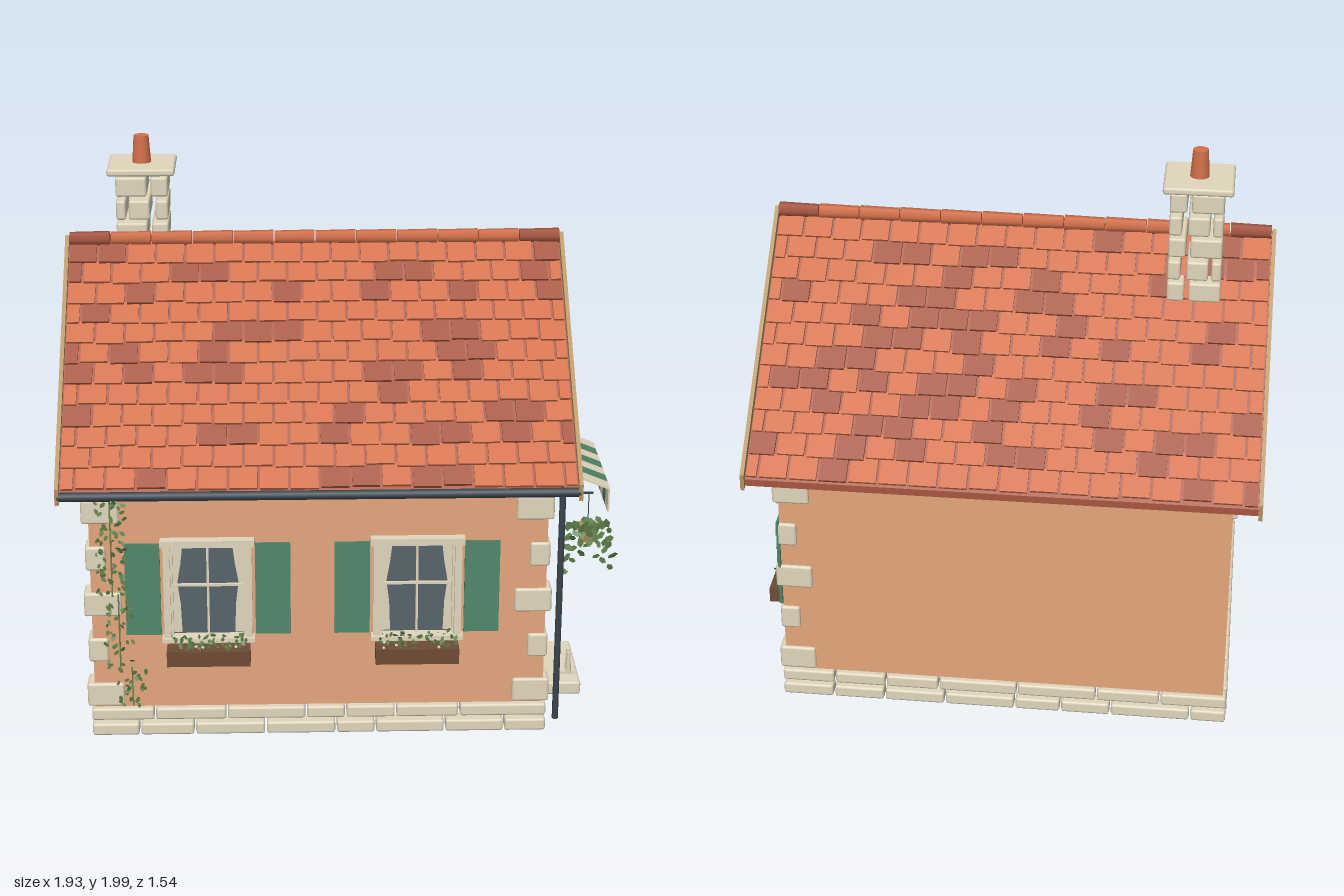
import * as THREE from 'three';
import { mergeGeometries } from 'three/addons/utils/BufferGeometryUtils.js';
import { RoundedBoxGeometry } from 'three/addons/geometries/RoundedBoxGeometry.js';

const mat = (name, color, side = THREE.FrontSide) => {
  const m = new THREE.MeshStandardMaterial({ color, side });
  m.name = name;
  return m;
};
const M = {
  wall: mat('peach plaster', 0xe4a67c), stone: mat('pale stone', 0xe0d6bc),
  tile: mat('orange tile', 0xd2704a), tileDark: mat('dark red tile', 0xa65640),
  green: mat('green paint', 0x4f8468), glass: mat('blue grey glass', 0x56646c),
  brown: mat('planter brown', 0x6e4b36), tan: mat('tan timber', 0xb5915f),
  iron: mat('dark iron', 0x3a454e), leaf: mat('leaf', 0x5f8048, THREE.DoubleSide),
};

let seed = 7;
const rnd = (a = 0, b = 1) => {
  seed = (seed * 16807) % 2147483647;
  return a + (b - a) * (seed / 2147483647);
};
const add = (parent, name, geo, material, x = 0, y = 0, z = 0) => {
  const m = new THREE.Mesh(geo, material);
  m.name = name;
  m.position.set(x, y, z);
  parent.add(m);
};
const box = (w, h, d, x = 0, y = 0, z = 0) => new THREE.BoxGeometry(w, h, d).translate(x, y, z);
const stone = (w, h, d, x, y, z) =>
  new RoundedBoxGeometry(w, h, d, 1, 0.009).translate(x, y, z);
const poly = (pts) => new THREE.Shape(pts.map(([x, y]) => new THREE.Vector2(x, y)));
const rect = (x0, x1, y0, y1) => poly([[x0, y0], [x0, y1], [x1, y1], [x1, y0]]);
const extrude = (shape, depth) =>
  new THREE.ExtrudeGeometry(shape, { depth, bevelEnabled: false, curveSegments: 24 });

// House dimensions
const X0 = -0.865, X1 = 0.715, Z = 0.63, BASE = 0.12, T = 0.03;
const SLOPE = 0.863, ANGLE = Math.atan(SLOPE), WIN_Y = 0.5725;

// Narrow leaves, mostly facing +z, scattered by a placing function
function leaves(count, size, place) {
  const list = [];
  for (let i = 0; i < count; i++) {
    const s = size * rnd(0.7, 1.2);
    list.push(new THREE.CircleGeometry(s, 5).scale(0.6, 1, 1)
      .rotateX(rnd(-0.5, 0.5)).rotateY(rnd(-0.5, 0.5)).rotateZ(rnd(-1.2, 1.2))
      .translate(...place(i)));
  }
  return mergeGeometries(list);
}

function walls(g) {
  const front = rect(X0, X1, BASE, 1.05);
  for (const x of [-0.46, 0.265]) front.holes.push(rect(x - 0.125, x + 0.125, 0.39, 0.745));
  add(g, 'frontWall', extrude(front, T), M.wall, 0, 0, Z - T);
  add(g, 'backWall', box(X1 - X0, 1.05 - BASE, T), M.wall, (X0 + X1) / 2, (1.05 + BASE) / 2, -Z + T / 2);
  const gable = () => poly([[-Z, BASE], [Z, BASE], [Z, 1.061], [0, 1.605], [-Z, 1.061]]);
  const right = gable();
  right.holes.push(rect(0.355 - 0.125, 0.355 + 0.125, 0.39, 0.745));
  add(g, 'doorGableWall', extrude(right, T).rotateY(Math.PI / 2), M.wall, X1 - T);
  add(g, 'plainGableWall', extrude(gable(), T).rotateY(Math.PI / 2), M.wall, X0);
}

function masonry(g) {
  // Two courses of foundation stones on all four sides
  const base = [];
  const run = (a, b, make) => {
    while (a < b - 0.01) {
      let len = rnd(0.13, 0.3);
      if (b - a - len < 0.1) len = b - a;
      base.push(make(a + len / 2, len - 0.006));
      a += len;
    }
  };
  for (const y of [0.033, 0.093]) for (const s of [-1, 1]) {
    run(-0.88, 0.73, (c, l) => stone(l, 0.045, 0.06, c, y, s * 0.615));
    run(-0.58, 0.58, (c, l) => stone(0.06, 0.045, l, s > 0 ? 0.7 : -0.85, y, c));
  }
  add(g, 'foundationStones', mergeGeometries(base), M.stone);
  // Corner stones on three corners, alternately wide and narrow
  const quoins = [];
  for (const [sx, sz] of [[-1, 1], [1, 1], [1, -1]]) for (let k = 0; k < 6; k++) {
    const w = k % 2 ? 0.07 : 0.13, y = k < 5 ? 0.169 + 0.174 * k : 0.98;
    const face = (sx > 0 ? 0.725 : -0.88) + sx * (k % 2 ? 0 : 0.01);
    quoins.push(stone(w, 0.088, 0.09, face - sx * w / 2, y, sz * 0.597));
  }
  add(g, 'cornerStones', mergeGeometries(quoins), M.stone);
}

function roof(g) {
  const chevron = (top, half, h) => poly([[-half, top - SLOPE * half - h], [0, top - h],
    [half, top - SLOPE * half - h], [half, top - SLOPE * half], [0, top], [-half, top - SLOPE * half]]);
  add(g, 'roofDeck', extrude(chevron(1.632, 0.755, 0.025), 1.75).rotateY(Math.PI / 2), M.tileDark, -0.95);
  for (const x of [-0.962, 0.798])
    add(g, 'bargeBoard', extrude(chevron(1.665, 0.768, 0.058), 0.014).rotateY(Math.PI / 2), M.tan, x);
  // Staggered rows of tiles, a few of them darker
  const light = [], dark = [];
  const pick = () => (rnd() < 0.24 ? dark : light);
  for (const s of [-1, 1]) for (let r = 0; r < 12; r++) {
    const d = (r + 0.5) * 0.0815 + 0.006, off = r % 2 ? 0.0515 : 0;
    for (let c = 0; c <= 17; c++) {
      const a = Math.max(-0.948, -0.948 + c * 0.103 - off), b = Math.min(0.797, -0.948 + (c + 1) * 0.103 - off);
      if (b - a < 0.02) continue;
      const e = d + rnd(-0.005, 0.005);
      pick().push(box(b - a - 0.01, 0.011, 0.09).rotateX(s * (ANGLE - 0.11)).translate((a + b) / 2,
        1.632 - e * Math.sin(ANGLE) + 0.01 * Math.cos(ANGLE),
        s * (e * Math.cos(ANGLE) + 0.01 * Math.sin(ANGLE))));
    }
  }
  for (let i = 0; i < 12; i++)
    pick().push(new THREE.CylinderGeometry(0.024, 0.027, 0.142, 6).rotateZ(Math.PI / 2)
      .translate(-0.948 + 0.073 + i * 0.1455, 1.653, 0));
  add(g, 'roofTiles', mergeGeometries(light), M.tile);
  add(g, 'darkRoofTiles', mergeGeometries(dark), M.tileDark);
  // Gutter and downpipe along the front eave
  add(g, 'gutter', new THREE.CylinderGeometry(0.016, 0.016, 1.76, 10).rotateZ(Math.PI / 2), M.iron, -0.075, 0.97, 0.754);
  add(g, 'downpipe', new THREE.CylinderGeometry(0.011, 0.011, 0.85, 10), M.iron, 0.745, 0.545, 0.755);
}

function chimney(g) {
  const list = [];
  const rows = [[[-0.78, -0.67], [-0.655, -0.595]], [[-0.78, -0.745], [-0.735, -0.66], [-0.64, -0.595]]];
  for (let k = 0; k < 5; k++) for (const [a, b] of rows[k % 2])
    list.push(stone(b - a, 0.07, k % 2 ? 0.21 : 0.2, (a + b) / 2, 1.835 - k * 0.083, -0.108));
  list.push(stone(0.24, 0.026, 0.24, -0.69, 1.89, -0.115));
  add(g, 'chimneyStones', mergeGeometries(list), M.stone);
  add(g, 'chimneyPot', new THREE.CylinderGeometry(0.027, 0.034, 0.1, 14), M.tile, -0.69, 1.95, -0.115);
}

// Shuttered window facing local +z, origin at its centre on the wall face
function windowUnit() {
  const g = new THREE.Group();
  g.name = 'window';
  add(g, 'glass', box(0.25, 0.355, 0.004), M.glass, 0, 0, -0.012);
  const frame = [box(0.325, 0.025, 0.045, 0, 0.18, 0.012), box(0.32, 0.016, 0.05, 0, -0.182, 0.015),
    box(0.008, 0.35, 0.012, 0, 0, -0.005), box(0.24, 0.008, 0.012, 0, 0.012, -0.005)];
  const slats = [];
  for (const s of [-1, 1]) {
    frame.push(box(0.024, 0.35, 0.036, s * 0.141, 0, 0.01), box(0.008, 0.35, 0.02, s * 0.125, 0, 0));
    const x = s * 0.225;
    slats.push(box(0.122, 0.344, 0.008, x, 0, 0.004));
    for (let i = 0; i < 6; i++)
      slats.push(box(0.12, 0.054, 0.006).rotateX(-0.06).translate(x, -0.142 + i * 0.0568, 0.009));
    // Gathered curtain with a waved inner edge
    const c = poly([[0.122, 0.17], [0.085, 0.17], [0.094, 0.09], [0.106, 0.02], [0.096, -0.06], [0.092, -0.17], [0.122, -0.17]]);
    add(g, 'curtain', extrude(c, 0.009).rotateY(s < 0 ? Math.PI : 0), M.stone, 0, 0, -0.012 + s * -0.0045);
  }
  add(g, 'windowFrame', mergeGeometries(frame), M.stone);
  add(g, 'shutters', mergeGeometries(slats), M.green);
  // Planter box with greenery and small blossoms
  add(g, 'planterBox', box(0.29, 0.056, 0.07), M.brown, 0, -0.234, 0.045);
  const spot = () => [rnd(-0.135, 0.135), rnd(-0.205, -0.16), rnd(0.02, 0.075)];
  add(g, 'planterLeaves', leaves(60, 0.011, spot), M.leaf);
  const blossoms = [];
  for (let i = 0; i < 12; i++) blossoms.push(new THREE.IcosahedronGeometry(0.006, 0).translate(...spot()));
  add(g, 'blossoms', mergeGeometries(blossoms), M.stone);
  return g;
}

function entrance(g) {
  add(g, 'door', box(0.03, 0.68, 0.28), M.green, X1 + 0.002, 0.46, 0.195);
  for (const z of [0.115, 0.195, 0.275]) add(g, 'doorPlank', box(0.005, 0.64, 0.075), M.green, X1 + 0.018, 0.45, z);
  add(g, 'doorKnob', new THREE.SphereGeometry(0.011, 12, 8), M.brown, X1 + 0.03, 0.44, 0.09);
  add(g, 'doorFrame', mergeGeometries([box(0.04, 0.7, 0.035, X1 + 0.01, 0.47, 0.352),
    box(0.04, 0.7, 0.035, X1 + 0.01, 0.47, 0.038), box(0.045, 0.035, 0.36, X1 + 0.01, 0.82, 0.195)]), M.stone);
  add(g, 'doorstep', stone(0.155, 0.05, 0.35, 0.81, 0.033, 0.195), M.stone);
  // Boot scraper on the step
  for (const z of [0.265, 0.295])
    add(g, 'scraperPost', new THREE.CylinderGeometry(0.006, 0.011, 0.085, 8), M.stone, 0.85, 0.1, z);
  add(g, 'scraperBar', box(0.07, 0.012, 0.045), M.stone, 0.84, 0.062, 0.28);
  // Striped awning with a hanging front edge
  const tilt = Math.atan2(0.095, 0.23), w = 0.45 / 7;
  for (let i = 0; i < 7; i++) {
    const z = 0.225 + (i - 3) * w;
    add(g, 'awningStripe', mergeGeometries([
      box(0.249, 0.006, w).rotateZ(-tilt).translate(0.835, 0.902, z),
      box(0.006, 0.085, w, 0.948, 0.812, z)]), i % 2 ? M.green : M.stone);
  }
  add(g, 'awningRod', box(0.012, 0.01, 0.49), M.iron, 0.722, 0.952, 0.205);
}

function roundWindow(g) {
  add(g, 'roundWindowRing', new THREE.TorusGeometry(0.071, 0.014, 10, 32).rotateY(Math.PI / 2), M.stone, X1 + 0.006, 1.33, 0);
  add(g, 'roundGlass', new THREE.CylinderGeometry(0.066, 0.066, 0.008, 32).rotateZ(Math.PI / 2), M.glass, X1 + 0.002, 1.33, 0);
}

function plants(g) {
  // Hanging basket on an iron bracket
  add(g, 'basketBracket', mergeGeometries([box(0.16, 0.007, 0.007, 0.795, 0.892, 0.57), box(0.007, 0.12, 0.012, 0.728, 0.86, 0.57),
    box(0.003, 0.13, 0.003, 0.86, 0.83, 0.57)]), M.iron);
  add(g, 'hangingPot', new THREE.CylinderGeometry(0.038, 0.026, 0.06, 14), M.tan, 0.86, 0.74, 0.56);
  // Vines spill over the front rim in seven strands
  add(g, 'trailingLeaves', leaves(49, 0.019, (i) => {
    const a = (i % 7) / 3 - 1, t = Math.floor(i / 7) / 6;
    return [0.86 + a * (0.04 + 0.045 * Math.sqrt(t)) + rnd(-0.008, 0.008),
      0.79 - t * t * (0.09 + 0.09 * Math.abs(a)) + rnd(-0.012, 0.012), 0.6 + rnd(-0.008, 0.01)];
  }), M.leaf);
  // Ivy climbing the front left corner
  for (const [x, y0, y1, n] of [[-0.79, 0.55, 0.96, 75], [-0.73, 0.13, 0.28, 24], [-0.77, 0.28, 0.56, 34]]) {
    add(g, 'ivyStem', box(0.005, y1 - y0, 0.005), M.leaf, x, (y0 + y1) / 2, Z + 0.013);
    add(g, 'ivy', leaves(n, 0.012, () => [x + rnd(-0.05, 0.05), rnd(y0, y1), Z + rnd(0.016, 0.022)]), M.leaf);
  }
}

export function createModel() {
  const g = new THREE.Group();
  g.name = 'cottage';
  [walls, masonry, roof, chimney, entrance, roundWindow, plants].forEach((build) => build(g));
  for (const x of [-0.46, 0.265]) {
    const w = windowUnit();
    w.position.set(x, WIN_Y, Z);
    g.add(w);
  }
  const side = windowUnit();
  side.position.set(X1, WIN_Y, -0.355);
  side.rotation.y = Math.PI / 2;
  g.add(side);
  return g;
}
